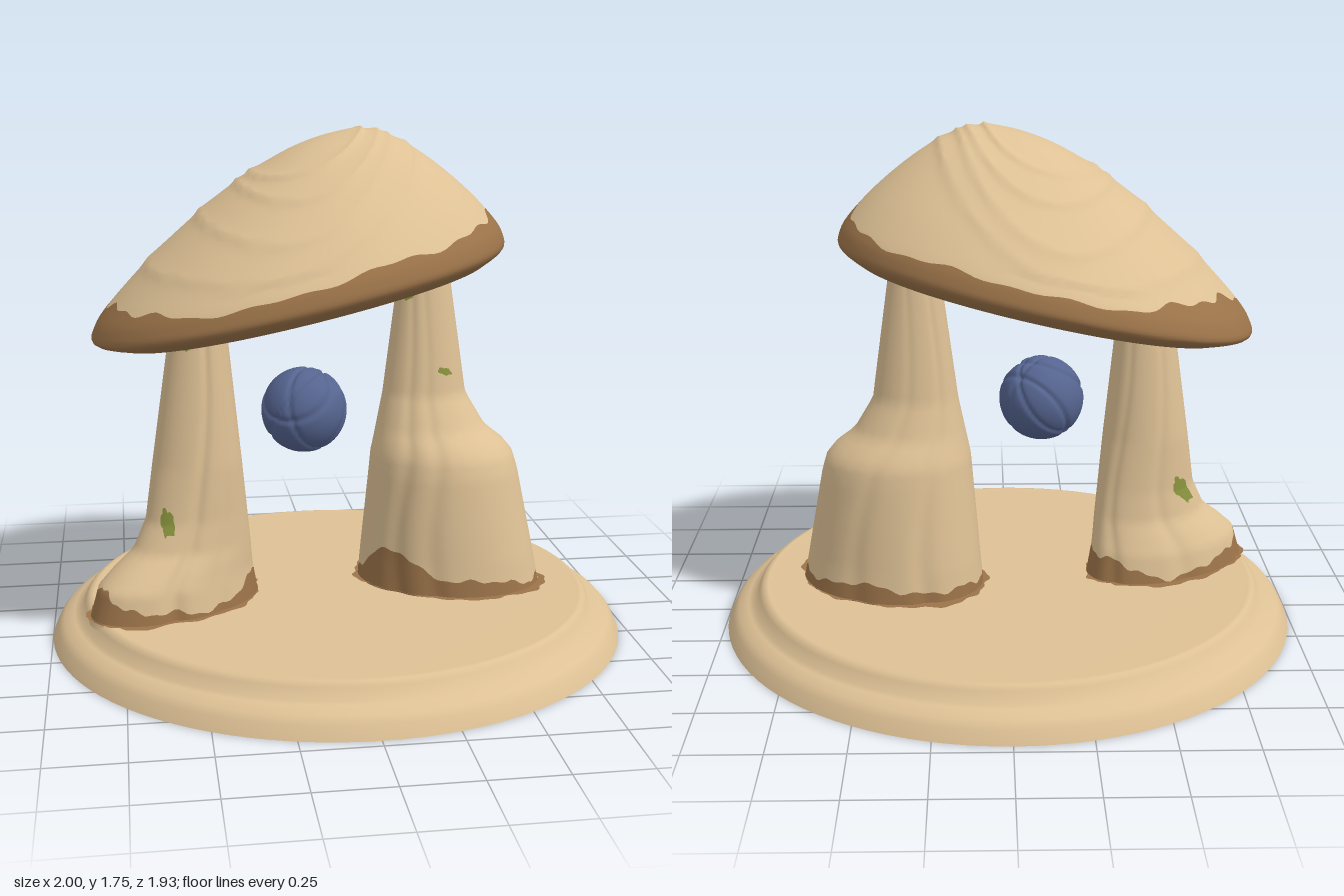
import * as THREE from 'three';

const mat = (name, color, side = THREE.DoubleSide) => {
  const m = new THREE.MeshStandardMaterial({ color, side });
  m.name = name;
  return m;
};
const { sin, cos, PI, exp, hypot, min, max } = Math;
const wob = (a, k) => 0.45 * sin(2 * a + k) + 0.3 * sin(5 * a + 2 * k) + 0.2 * sin(11 * a + k) + 0.15 * sin(23 * a + 3 * k);
const bump = (d, w) => exp(-(d * d) / (w * w));

// Closed-around skin: point(p, angle); edges give p at each colour border, bands = [material, rows]
function loft(name, point, edges, bands, cols = 120) {
  const pos = [], index = [], geo = new THREE.BufferGeometry();
  let row = 0;
  bands.forEach(([, rows], b) => {
    const start = index.length;
    for (let r = b ? 1 : 0; r <= rows; r++) {
      for (let c = 0; c < cols; c++) {
        const a = (c / cols) * 2 * PI;
        const p0 = edges[b](a), p1 = edges[b + 1](a);
        pos.push(...point(p0 + ((p1 - p0) * r) / rows, a));
      }
    }
    for (let r = 0; r < rows; r++, row++) {
      for (let c = 0; c < cols; c++) {
        const d = (c + 1) % cols, i = row * cols, j = i + cols;
        index.push(i + c, j + c, i + d, i + d, j + c, j + d);
      }
    }
    geo.addGroup(start, index.length - start, b);
  });
  geo.setAttribute('position', new THREE.Float32BufferAttribute(pos, 3));
  geo.setIndex(index);
  geo.computeVertexNormals();
  const mesh = new THREE.Mesh(geo, bands.map((b) => b[0]));
  mesh.name = name;
  return mesh;
}

// Leg skin from rings [y, x0, x1, z0, z1] with wavy vertical grooves; skew turns the foot's oval
function legSkin(rings, grooves, skew) {
  return (y, a, off = 0) => {
    let i = 0;
    while (i < rings.length - 2 && y > rings[i + 1][0]) i++;
    const A = rings[i], B = rings[i + 1];
    const t = min(1, max(0, (y - A[0]) / (B[0] - A[0])));
    const [, x0, x1, z0, z1] = A.map((v, k) => v + (B[k] - v) * t);
    const turn = skew * min(1, max(0.15, 1 - (y - 0.25) * 2.2));
    let f = 1;
    for (const [g, depth] of grooves) {
      const d = a - g - 0.16 * sin(y * 5);
      f -= depth * bump(Math.atan2(sin(d), cos(d)), 0.12);
    }
    return [
      (x0 + x1) / 2 + (((x1 - x0) / 2) * f + off) * cos(a), y,
      (z0 + z1) / 2 + (((z1 - z0) / 2) * f + off) * sin(a + turn),
    ];
  };
}

export function createModel() {
  const group = new THREE.Group();
  const stone = mat('sandstone', 0xdec195);
  const earth = mat('brown earth', 0x9b7349);
  const moss = mat('moss green', 0x8a943e);
  const blue = mat('slate blue', 0x55648f, THREE.FrontSide);

  // Stepped round base, a hollow shell open below
  const profile = [[1, 0], [0.98, 0.043], [0.96, 0.066], [0.925, 0.085], [0.903, 0.088], [0.885, 0.125],
    [0.87, 0.14], [0.855, 0.143], [0.84, 0.139], [0, 0.139]].map(([x, y]) => new THREE.Vector2(x, y));
  const base = new THREE.Mesh(new THREE.LatheGeometry(profile, 96), stone);
  base.name = 'base';
  base.scale.z = 0.967;
  group.add(base);

  // Flared, open-ended leg with an earthy foot and mossy top
  function addLeg(name, skin, footY, mossY, top, phase) {
    group.add(loft(name, skin, [() => 0.12, () => 0.139, footY, mossY, () => top],
      [[stone, 2], [earth, 8], [stone, 50], [moss, 5]]));
    // Earth stain around the foot, above and below the base shell
    for (const y of [0.144, 0.135]) {
      group.add(loft(name + 'Stain', (p, a) => {
        const [x, , z] = skin(0.139, a, (1 - p) * max(0.002, 0.016 + 0.028 * wob(a, phase)));
        return [x, y, z];
      }, [() => 0, () => 1], [[earth, 1]]));
    }
  }
  // Small moss patch on a leg
  function addPatch(skin, a0, y0, da, dy) {
    group.add(loft('mossPatch', (p, f) => {
      const r = (1 - p) * (1 + 0.3 * wob(f, 2));
      return skin(y0 + r * dy * (sin(f) + 0.5 * cos(f)), a0 + r * da * cos(f), 0.004);
    }, [() => 0, () => 1], [[moss, 6]], 28));
  }

  const rightRings = [[0.12, -0.87, -0.28, -0.13, 0.33], [0.24, -0.835, -0.3, -0.11, 0.31],
    [0.29, -0.785, -0.305, -0.09, 0.28], [0.35, -0.715, -0.31, -0.065, 0.24],
    [0.45, -0.67, -0.32, -0.05, 0.217], [1.06, -0.58, -0.38, 0, 0.18], [1.16, -0.57, -0.4, 0, 0.18]];
  const rightSkin = legSkin(rightRings, [[1.5, 0.09], [0.9, 0.03], [4.4, 0.04], [5.4, 0.03]], -0.43);
  addLeg('rightLeg', rightSkin, (a) => 0.2 + 0.03 * wob(a, 3) + 0.035 * cos(2 * a),
    (a) => 1.065 + 0.02 * wob(a, 1) + 0.03 * cos(a), 1.16, 5);
  addPatch(rightSkin, 2.2, 0.46, 0.16, 0.045);
  addPatch(rightSkin, 3.95, 0.45, 0.2, 0.05);

  const leftRings = [[0.12, 0.088, 0.732, -0.282, 0.226], [0.55, 0.125, 0.65, -0.25, 0.185],
    [0.61, 0.13, 0.632, -0.243, 0.172], [0.65, 0.138, 0.6, -0.225, 0.15], [0.7, 0.148, 0.535, -0.195, 0.11],
    [0.82, 0.172, 0.465, -0.16, 0.057], [1.31, 0.235, 0.395, -0.125, 0]];
  const leftSkin = legSkin(leftRings, [[1.75, 0.035], [2.2, 0.04], [4.2, 0.04], [5, 0.03]], 0.16);
  addLeg('leftLeg', leftSkin, (a) => 0.185 + 0.03 * wob(a, 4) + 0.09 * bump(a - 2.45, 0.5),
    (a) => 1.25 + 0.015 * wob(a, 2) - 0.1 * bump(a - 2.3, 0.45), 1.31, 6);
  addPatch(leftSkin, 1.15, 0.91, 0.18, 0.014);

  // Tilted cap: profile of [ring scale, height] over a sloping plane, peak shifted sideways
  const dome = new THREE.SplineCurve([[0.9, -0.022], [0.995, 0.012], [0.99, 0.055], [0.94, 0.11], [0.79, 0.22],
    [0.6, 0.335], [0.43, 0.42], [0.24, 0.487], [0.1, 0.514], [0, 0.518]].map(([s, h]) => new THREE.Vector2(s, h)));
  // Terrace contours: centre x, radius x, radius z
  const terraces = [[-0.11, 0.19, 0.23], [-0.105, 0.24, 0.33], [-0.15, 0.32, 0.45], [-0.2, 0.44, 0.52]];
  const capSkin = (p, a) => {
    const q = p < 0 ? { x: 0.9 * (1 + p), y: -0.022 } : dome.getPoint(p);
    const x = -0.13 + (p < 0 ? 0 : 0.13 * (1 - q.x)) + 0.7 * q.x * cos(a);
    const z = 0.56 * q.x * sin(a) * (1 - 0.05 * cos(a));
    let y = 1.185 + 0.22 * (x + 0.13) + q.y + 0.025 * q.x * q.x * sin(a) ** 2;
    if (p > 0.35) {
      for (const [cx, rx, rz] of terraces) {
        const d = hypot((x - cx) / rx, z / rz) - 1 + 0.02 * sin(3 * a + cx * 20);
        y += 0.01 * exp(d < 0 ? d * 9 : -d * 40);
      }
    }
    return [x, y, z];
  };
  const bandTop = (a) => 0.325 + 0.05 * wob(a, 0.6) + 0.025 * cos(2 * a);
  group.add(loft('cap', capSkin, [() => -1, () => 0, bandTop, () => 1],
    [[stone, 8], [earth, 12], [stone, 80]], 160));

  // Floating ball with carved seams and a notch near the top
  const ballGeo = new THREE.SphereGeometry(0.147, 80, 60);
  const seams = [[0.75, 0.25, 0.6, 0.25], [-0.35, 0.8, 0.5, 0.55], [0.6, -0.5, -0.62, 0.3], [-0.7, 0.55, -0.45, 0.2]]
    .map(([x, y, z, d]) => [new THREE.Vector3(x, y, z).normalize(), d]);
  const notch = new THREE.Vector3(0.65, 0.7, 0.3).normalize();
  const at = ballGeo.attributes.position, v = new THREE.Vector3();
  for (let i = 0; i < at.count; i++) {
    v.fromBufferAttribute(at, i).normalize();
    let r = 0.147;
    for (const [n, d] of seams) r -= 0.008 * bump(v.dot(n) - d, 0.05);
    r -= 0.012 * bump(v.distanceTo(notch), 0.2);
    v.multiplyScalar(r);
    at.setXYZ(i, v.x, v.y, v.z);
  }
  ballGeo.computeVertexNormals();
  const ball = new THREE.Mesh(ballGeo, blue);
  ball.name = 'floatingBall';
  ball.position.set(-0.117, 0.79, 0.03);
  group.add(ball);

  return group;
}
